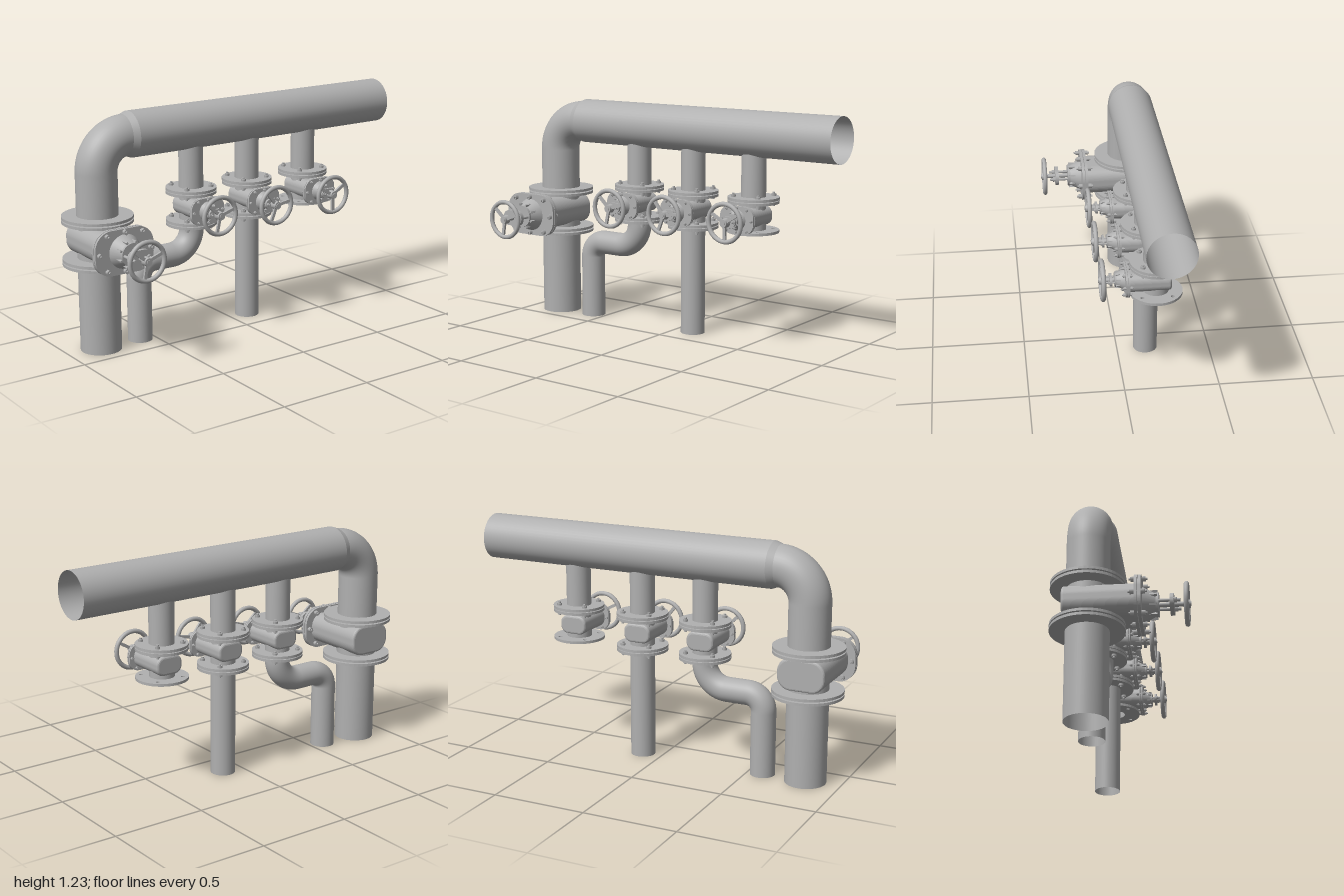
import * as THREE from 'three';

const AXIS_Z = -0.155;
const steel = new THREE.MeshStandardMaterial({ color: 0xb0b0b0, side: THREE.DoubleSide });
steel.name = 'grey steel';

function add(parent, name, geometry, x = 0, y = 0, z = 0) {
  const mesh = new THREE.Mesh(geometry, steel);
  mesh.name = name;
  mesh.position.set(x, y, z);
  parent.add(mesh);
  return mesh;
}

// Open pipe through corner points [x, y, bendRadius]
function pipe(parent, name, corners, radius) {
  const path = new THREE.CurvePath();
  const pts = corners.map(([x, y]) => new THREE.Vector3(x, y, AXIS_Z));
  let last = pts[0];
  for (let i = 1; i < pts.length - 1; i++) {
    const r = corners[i][2], p = pts[i];
    const a = p.clone().add(pts[i - 1].clone().sub(p).setLength(r));
    const b = p.clone().add(pts[i + 1].clone().sub(p).setLength(r));
    path.add(new THREE.LineCurve3(last, a));
    path.add(new THREE.CubicBezierCurve3(a, a.clone().lerp(p, 0.5523), b.clone().lerp(p, 0.5523), b));
    last = b;
  }
  path.add(new THREE.LineCurve3(last, pts[pts.length - 1]));
  add(parent, name, new THREE.TubeGeometry(path, pts.length > 2 ? 90 : 1, radius, 40));
}

// Cylinder lying along z, r1 at the front
function rod(r1, r2, length, sides = 24) {
  return new THREE.CylinderGeometry(r1, r2, length, sides).rotateX(Math.PI / 2);
}

// Rounded plate facing z, given half sizes
function ovalPlate(w, h, r, depth, bevel = 0) {
  const s = new THREE.Shape();
  s.absarc(w - r, h - r, r, 0, Math.PI / 2);
  s.absarc(r - w, h - r, r, Math.PI / 2, Math.PI);
  s.absarc(r - w, r - h, r, Math.PI, Math.PI * 1.5);
  s.absarc(w - r, r - h, r, Math.PI * 1.5, Math.PI * 2);
  s.closePath();
  return new THREE.ExtrudeGeometry(s, {
    depth, curveSegments: 12, bevelEnabled: bevel > 0,
    bevelSize: bevel, bevelThickness: bevel, bevelOffset: -bevel, bevelSegments: 3,
  });
}

// Horizontal pipe flange with a bore and optional bolt holes
function flange(radius, bore, holes) {
  const s = new THREE.Shape().absarc(0, 0, radius, 0, Math.PI * 2);
  s.holes.push(new THREE.Path().absarc(0, 0, bore, 0, Math.PI * 2, true));
  for (let i = 0; i < holes; i++) {
    const a = Math.PI / 4 + i * Math.PI / 2;
    s.holes.push(new THREE.Path().absarc(0.107 * Math.cos(a), 0.107 * Math.sin(a), 0.01, 0, Math.PI * 2, true));
  }
  const g = new THREE.ExtrudeGeometry(s, { depth: 0.014, bevelEnabled: false, curveSegments: 24 });
  return g.rotateX(-Math.PI / 2).translate(0, -0.007, 0);
}

function handwheel(parent, z, angle) {
  const wheel = new THREE.Group();
  wheel.name = 'handwheel';
  wheel.position.z = z;
  wheel.rotation.z = angle;
  add(wheel, 'wheelRim', new THREE.TorusGeometry(0.097, 0.012, 10, 40));
  add(wheel, 'wheelHub', rod(0.02, 0.024, 0.032));
  for (let i = 0; i < 3; i++) {
    const spoke = add(wheel, 'wheelSpoke', new THREE.BoxGeometry(0.085, 0.016, 0.012).translate(0.054, 0, 0));
    spoke.rotation.z = i * Math.PI * 2 / 3;
  }
  parent.add(wheel);
}

function valve(parent, p) {
  const v = new THREE.Group();
  v.name = p.name;
  v.position.set(p.x, p.y, AXIS_Z);
  parent.add(v);

  // Body: vertical neck crossed by the gate housing
  const neckLength = 2 * p.innerFlange;
  add(v, 'valveNeck', new THREE.CylinderGeometry(p.neck, p.neck, neckLength, 36, 1, true));
  add(v, 'valveBody', ovalPlate(p.bodyW, p.bodyH, p.bodyH * 0.85, p.bonnet - p.back - 0.024, 0.012), 0, 0, p.back + 0.012);

  // Paired pipe flanges
  for (const side of [1, -1]) {
    const open = side < 0 && p.openBelow;
    const offsets = open ? [p.innerFlange] : [p.innerFlange, p.outerFlange];
    for (const y of offsets) {
      add(v, 'pipeFlange', flange(p.flange, p.neck * 0.8, open ? 4 : 0), 0, side * y, 0);
    }
    if (!p.bolts || open) continue;
    for (let i = 0; i < 4; i++) {
      const a = Math.PI / 4 + i * Math.PI / 2;
      const x = 0.107 * Math.cos(a), z = 0.107 * Math.sin(a);
      const mid = side * (p.innerFlange + p.outerFlange) / 2;
      add(v, 'flangeBolt', new THREE.CylinderGeometry(0.007, 0.007, 0.074, 10), x, mid, z);
      for (const d of [-0.023, 0.023]) add(v, 'flangeNut', new THREE.CylinderGeometry(0.013, 0.013, 0.012, 6), x, mid + d, z);
    }
  }

  // Bonnet flanges, bolts and cone
  const s = p.scale;
  for (const d of [-0.009, 0.009]) {
    add(v, 'bonnetFlange', ovalPlate(0.165 * s, 0.115 * s, 0.09 * s, 0.015 * s), 0, 0, p.bonnet + d * s - 0.0075 * s);
  }
  for (const [bx, by] of [[0.145, 0], [0.1, 0.09], [0, 0.1]]) {
    for (const sx of bx ? [-1, 1] : [1]) for (const sy of by ? [-1, 1] : [1]) {
      add(v, 'bonnetBolt', rod(0.006 * s, 0.006 * s, 0.09 * s, 8), sx * bx * s, sy * by * s, p.bonnet);
      for (const d of [-0.026, 0.026]) add(v, 'bonnetNut', rod(0.014 * s, 0.014 * s, 0.02 * s, 6), sx * bx * s, sy * by * s, p.bonnet + d * s);
    }
  }
  const coneStart = p.bonnet + 0.01 * s, coneEnd = p.coneEnd;
  add(v, 'bonnetCone', rod(0.052 * s, 0.092 * s, coneEnd - coneStart, 32), 0, 0, (coneStart + coneEnd) / 2);
  add(v, 'bonnetCollar', rod(0.06 * s, 0.06 * s, 0.014 * s), 0, 0, coneEnd);
  for (let i = 0; i < 8; i++) {
    const rib = add(v, 'bonnetRib', new THREE.BoxGeometry(0.05 * s, 0.01 * s, coneEnd - coneStart).translate(0.05 * s, 0, 0), 0, 0, (coneStart + coneEnd) / 2);
    rib.rotation.z = (i + 0.5) * Math.PI / 4;
    rib.scale.x = 0.95;
  }

  // Gland, posts and stem
  add(v, 'gland', ovalPlate(0.065 * s, 0.042 * s, 0.04 * s, 0.02 * s), 0, 0, p.gland - 0.01 * s);
  for (const x of [-0.046 * s, 0.046 * s]) {
    add(v, 'glandPost', rod(0.008 * s, 0.008 * s, p.gland - coneEnd + 0.04 * s, 10), x, 0, (p.gland + coneEnd) / 2 + 0.02 * s);
    add(v, 'glandNut', rod(0.015 * s, 0.015 * s, 0.014 * s, 6), x, 0, p.gland + 0.017 * s);
  }
  add(v, 'stem', rod(0.012, 0.012, p.wheel - coneEnd + 0.02, 16), 0, 0, (p.wheel + coneEnd) / 2 + 0.01);
  handwheel(v, p.wheel, p.angle);
}

export function createModel() {
  const model = new THREE.Group();
  model.name = 'pipeManifold';

  // Header pipe with a reducer into the elbow
  add(model, 'headerPipe', new THREE.CylinderGeometry(0.12, 0.12, 1.62, 48, 1, true).rotateZ(-Math.PI / 2), 0.19, 1.107, AXIS_Z);
  add(model, 'headerReducer', new THREE.CylinderGeometry(0.12, 0.107, 0.035, 48, 1, true).rotateZ(-Math.PI / 2), -0.6375, 1.107, AXIS_Z);
  pipe(model, 'elbowPipe', [[-0.815, 0.7], [-0.815, 1.107, 0.17], [-0.635, 1.107]], 0.107);
  pipe(model, 'mainDownPipe', [[-0.815, 0], [-0.815, 0.48]], 0.107);

  // Branch pipes
  const branches = [-0.25, 0.11, 0.49];
  for (const x of branches) pipe(model, 'branchPipe', [[x, 0.76], [x, 1.02]], 0.065);
  pipe(model, 'offsetPipe', [[-0.25, 0.59], [-0.25, 0.427, 0.13], [-0.58, 0.427, 0.085], [-0.58, 0]], 0.065);
  pipe(model, 'straightDownPipe', [[0.11, 0], [0.11, 0.59]], 0.065);

  // Valves
  valve(model, {
    name: 'mainValve', x: -0.815, y: 0.59, neck: 0.107, flange: 0.183, innerFlange: 0.1, outerFlange: 0.121,
    bodyW: 0.125, bodyH: 0.083, back: -0.115, bonnet: 0.25, scale: 1, coneEnd: 0.335, gland: 0.405, wheel: 0.475, angle: 0.35,
  });
  branches.forEach((x, i) => valve(model, {
    name: 'branchValve', x, y: 0.68, neck: 0.065, flange: 0.135, innerFlange: 0.077, outerFlange: 0.095,
    bodyW: 0.075, bodyH: 0.05, back: -0.072, bonnet: 0.15, scale: 0.61, coneEnd: 0.205, gland: 0.228, wheel: 0.27,
    bolts: true, openBelow: i === 2, angle: [0.3, 0.15, 0.55][i],
  }));
  return model;
}
